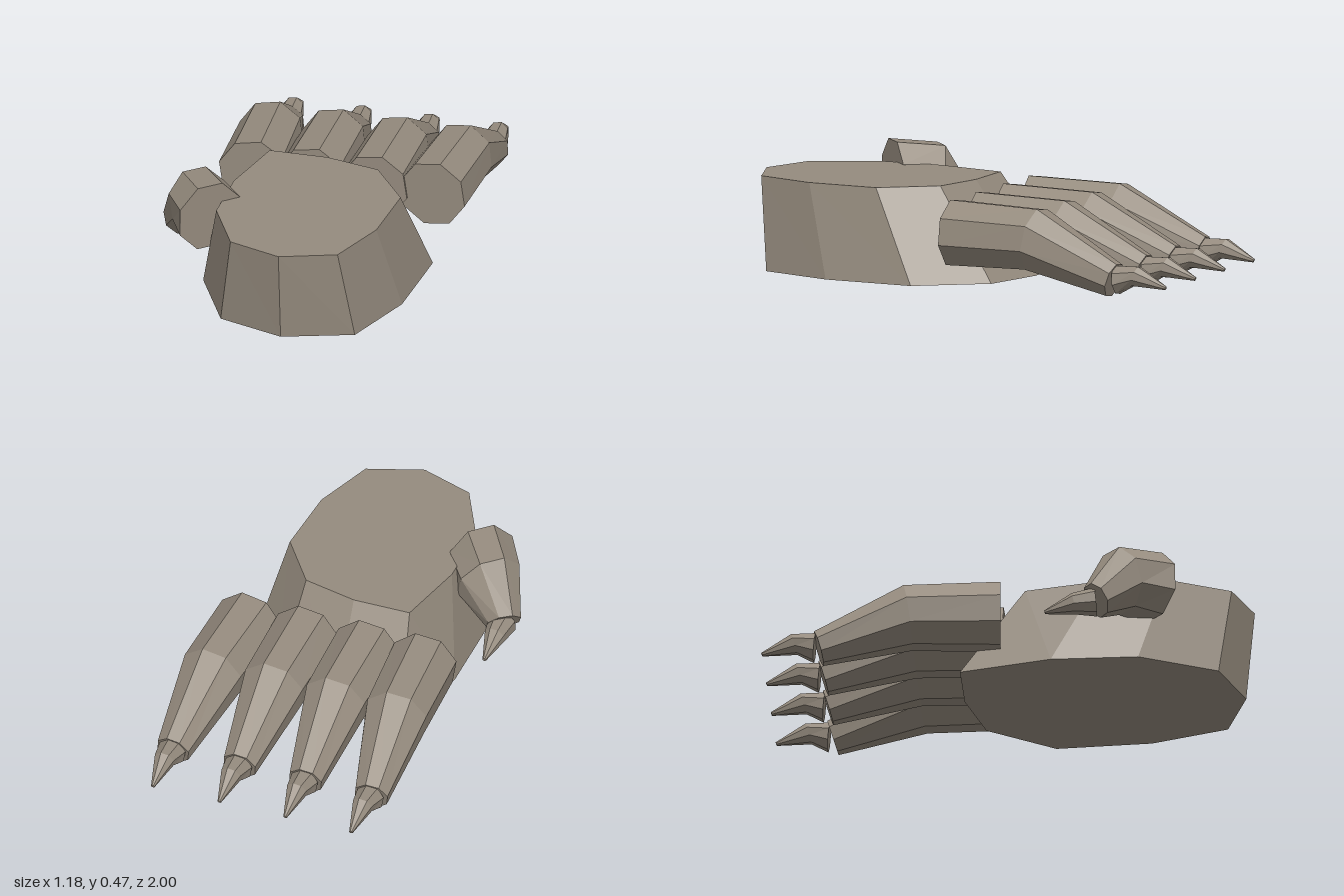
import * as THREE from 'three';

const V = (x, y, z) => new THREE.Vector3(x, y, z);

// Octagonal cross-section: centre, facing direction, radius and roll in degrees
function ring(centre, facing, radius, roll) {
  const t = V(...facing).normalize();
  const u = t.clone().cross(V(0, 1, 0)).normalize();
  const v = u.clone().cross(t);
  return Array.from({ length: 8 }, (_, i) => {
    const a = (i * 45 + roll) * Math.PI / 180;
    return V(...centre)
      .addScaledVector(u, Math.cos(a) * radius)
      .addScaledVector(v, Math.sin(a) * radius);
  });
}

// Closed faceted solid through a list of rings
function loft(rings) {
  const tris = [];
  const n = rings[0].length;
  const middle = (r) => r.reduce((s, p) => s.add(p), V(0, 0, 0)).divideScalar(n);
  const first = rings[0], last = rings[rings.length - 1];
  const c0 = middle(first), c1 = middle(last);
  for (let i = 0; i < n; i++) {
    const j = (i + 1) % n;
    for (let k = 0; k < rings.length - 1; k++) {
      const a = rings[k], b = rings[k + 1];
      tris.push(a[i], b[i], b[j], a[i], b[j], a[j]);
    }
    tris.push(c0, first[i], first[j], c1, last[j], last[i]);
  }
  const geometry = new THREE.BufferGeometry().setFromPoints(tris);
  geometry.computeVertexNormals();
  return geometry;
}

export function createModel() {
  const group = new THREE.Group();
  const hide = new THREE.MeshStandardMaterial({ color: 0x958b7e, flatShading: true });
  hide.name = 'greyBrownHide';

  const add = (name, rings) => {
    const mesh = new THREE.Mesh(loft(rings), hide);
    mesh.name = name;
    group.add(mesh);
  };

  // Palm: ten-sided block, wider and pushed back at the ground
  const top = [[-0.175, 0.92], [0.05, 1.0], [0.28, 0.92], [0.375, 0.66], [0.395, 0.35],
    [0.24, 0.13], [0.01, 0.075], [-0.235, 0.075], [-0.305, 0.38], [-0.305, 0.66]];
  const bottom = [[-0.23, 0.87], [0.05, 0.965], [0.34, 0.87], [0.455, 0.55], [0.48, 0.155],
    [0.285, -0.12], [0, -0.19], [-0.29, -0.19], [-0.39, 0.19], [-0.39, 0.55]];
  add('palm', [
    top.map(([x, z]) => V(x, 0.385, z)),
    bottom.map(([x, z]) => V(x, 0, z)),
  ]);

  // Four fingers: x at base, knuckle and end, outer ones splayed
  const fingers = [[-0.333, -0.355, -0.386], [-0.085, -0.087, -0.097],
    [0.182, 0.184, 0.192], [0.43, 0.452, 0.484]];
  fingers.forEach(([x0, x1, x2], i) => {
    const lean = (x2 - x0) / 0.75;
    add('finger' + (i + 1), [
      ring([x0, 0.225, -0.02], [lean, 0, -1], 0.145, -14),
      ring([x1, 0.222, -0.4], [lean, -0.15, -1], 0.137, -14),
      ring([x2, 0.08, -0.765], [lean, -0.3, -1], 0.074, -14),
    ]);
    add('claw' + (i + 1), [
      ring([x2, 0.083, -0.78], [0, 0.1, -1], 0.062, -14),
      ring([x2, 0.102, -0.865], [0, -0.3, -1], 0.045, -14),
      ring([x2, 0.06, -0.998], [0, -0.4, -1], 0.008, -14),
    ]);
  });

  // Short thumb curling down beside the palm
  add('thumb', [
    ring([-0.345, 0.33, 0.612], [-0.68, 0, -0.73], 0.15, 22),
    ring([-0.43, 0.327, 0.475], [-0.6, -0.3, -0.65], 0.14, 22),
    ring([-0.53, 0.195, 0.385], [-0.42, -0.5, -0.6], 0.075, 22),
  ]);
  add('thumbClaw', [
    ring([-0.525, 0.19, 0.385], [-0.05, -0.1, -1], 0.06, 22),
    ring([-0.525, 0.185, 0.295], [0, -0.2, -1], 0.045, 22),
    ring([-0.525, 0.15, 0.175], [0, -0.3, -1], 0.008, 22),
  ]);

  return group;
}
